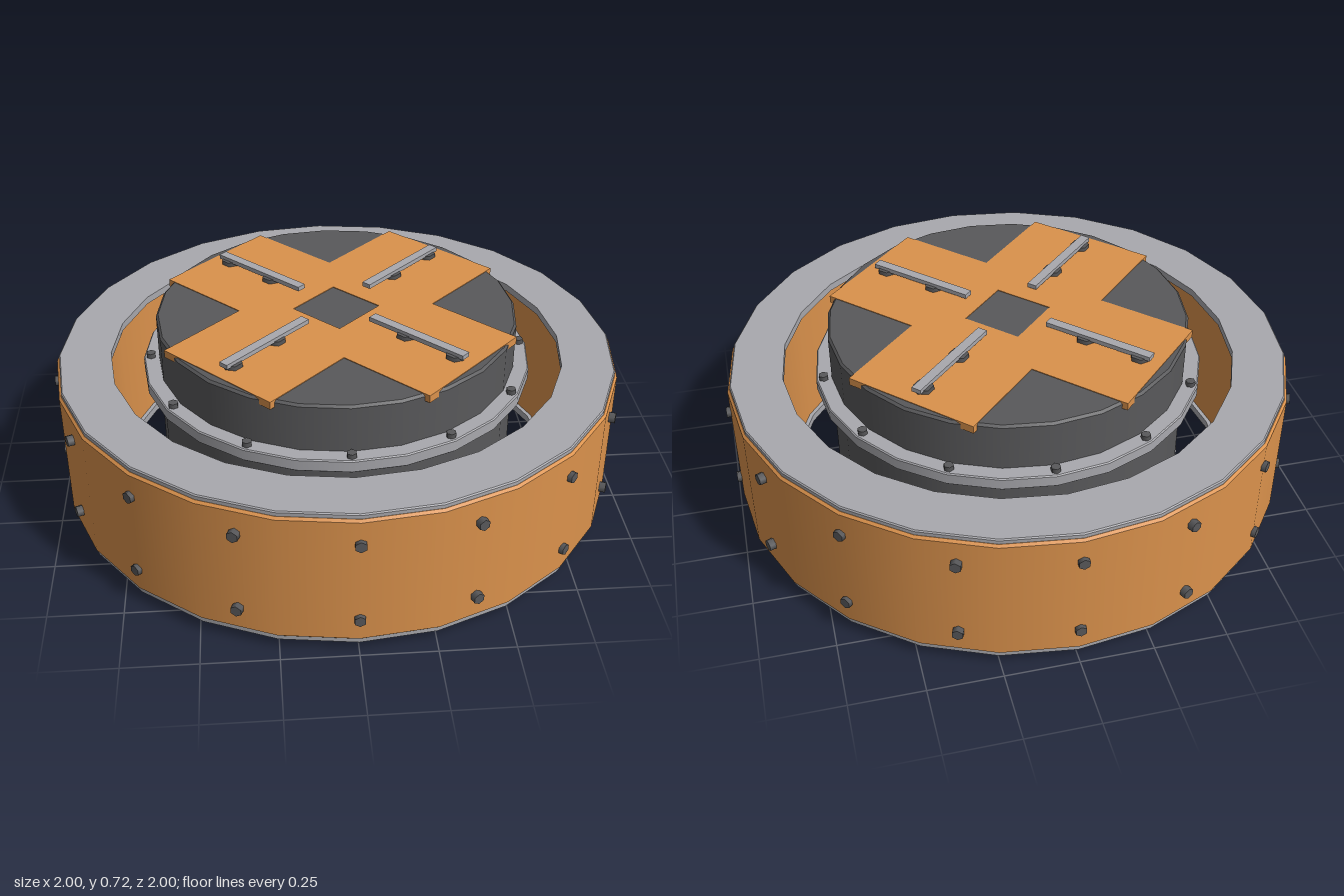
import * as THREE from 'three';
import { mergeGeometries } from 'three/addons/utils/BufferGeometryUtils.js';

const SIDES = 24;

const material = (name, color) => {
  const m = new THREE.MeshStandardMaterial({ color });
  m.name = name;
  return m;
};

// Turned solid: each profile segment is its own strip, so profile corners stay sharp.
// Profile points are [radius, y], running up the outside and down the inside.
function turned(points) {
  const strips = [];
  for (let i = 0; i < points.length - 1; i++) {
    const pair = [points[i], points[i + 1]].map(([r, y]) => new THREE.Vector2(r, y));
    strips.push(new THREE.LatheGeometry(pair, SIDES));
  }
  return mergeGeometries(strips);
}

// Closed ring with small bevels on the outer edges
function ringProfile(inner, outer, y0, y1, b = 0.004) {
  return [[inner, y0], [outer - b, y0], [outer, y0 + b], [outer, y1 - b],
    [outer - b, y1], [inner, y1], [inner, y0]];
}

export function createModel() {
  const orange = material('orange paint', 0xdb924c);
  const silver = material('light grey metal', 0xa9a9ae);
  const dark = material('dark grey metal', 0x59595b);

  const model = new THREE.Group();
  model.name = 'ringDevice';
  const add = (parent, name, geometry, mat, x = 0, y = 0, z = 0) => {
    const mesh = new THREE.Mesh(geometry, mat);
    mesh.name = name;
    mesh.position.set(x, y, z);
    parent.add(mesh);
    return mesh;
  };

  // Outer ring: painted body between two metal rims
  const outerRing = new THREE.Group();
  outerRing.name = 'outerRing';
  model.add(outerRing);
  add(outerRing, 'ringBody', turned(ringProfile(0.81, 0.986, 0.05, 0.525, 0.008)), orange);
  add(outerRing, 'topRim', turned(ringProfile(0.795, 0.977, 0.515, 0.542)), silver);
  add(outerRing, 'bottomRim', turned(ringProfile(0.795, 0.977, 0.03, 0.058)), silver);

  // Two rows of hex bolts around the ring
  const sideBolt = new THREE.CylinderGeometry(0.02, 0.02, 0.03, 6).toNonIndexed();
  sideBolt.rotateX(Math.PI / 2);
  for (let i = 0; i < 16; i++) {
    const a = (i / 16) * Math.PI * 2;
    for (const y of [0.14, 0.435]) {
      const bolt = add(outerRing, 'ringBolt', sideBolt, dark,
        Math.sin(a) * 0.985, y, Math.cos(a) * 0.985);
      bolt.rotation.y = a;
    }
  }

  // Central core drum with a recessed underside
  const core = new THREE.Group();
  core.name = 'core';
  model.add(core);
  add(core, 'drum', turned([[0, 0.08], [0.6, 0.08], [0.628, 0.09], [0.628, 0.682],
    [0.62, 0.69], [0, 0.69]]), dark);
  add(core, 'baseRing', turned(ringProfile(0.58, 0.632, 0, 0.1)), silver);
  add(core, 'flange', turned(ringProfile(0.61, 0.682, 0.475, 0.52)), silver);

  // Bolts on the flange
  const flangeBolt = new THREE.CylinderGeometry(0.017, 0.017, 0.03, 6);
  for (let i = 0; i < 12; i++) {
    const a = (i / 12) * Math.PI * 2;
    add(core, 'flangeBolt', flangeBolt, dark, Math.sin(a) * 0.656, 0.522, Math.cos(a) * 0.656);
  }

  // Four diagonal painted panels, each with a grab bar on two feet
  const panelGeo = new THREE.BoxGeometry(0.48, 0.027, 0.488);
  const barGeo = new THREE.BoxGeometry(0.034, 0.016, 0.394);
  const footGeo = new THREE.CylinderGeometry(0.034, 0.034, 0.018, 6);
  for (let i = 0; i < 4; i++) {
    const arm = new THREE.Group();
    arm.name = 'topArm';
    arm.rotation.y = Math.PI / 4 + (i * Math.PI) / 2;
    core.add(arm);
    add(arm, 'paintedPanel', panelGeo, orange, 0, 0.679, 0.35);
    add(arm, 'grabBar', barGeo, silver, 0, 0.712, 0.36);
    for (const z of [0.31, 0.515]) add(arm, 'barFoot', footGeo, dark, 0, 0.699, z);
  }

  return model;
}
